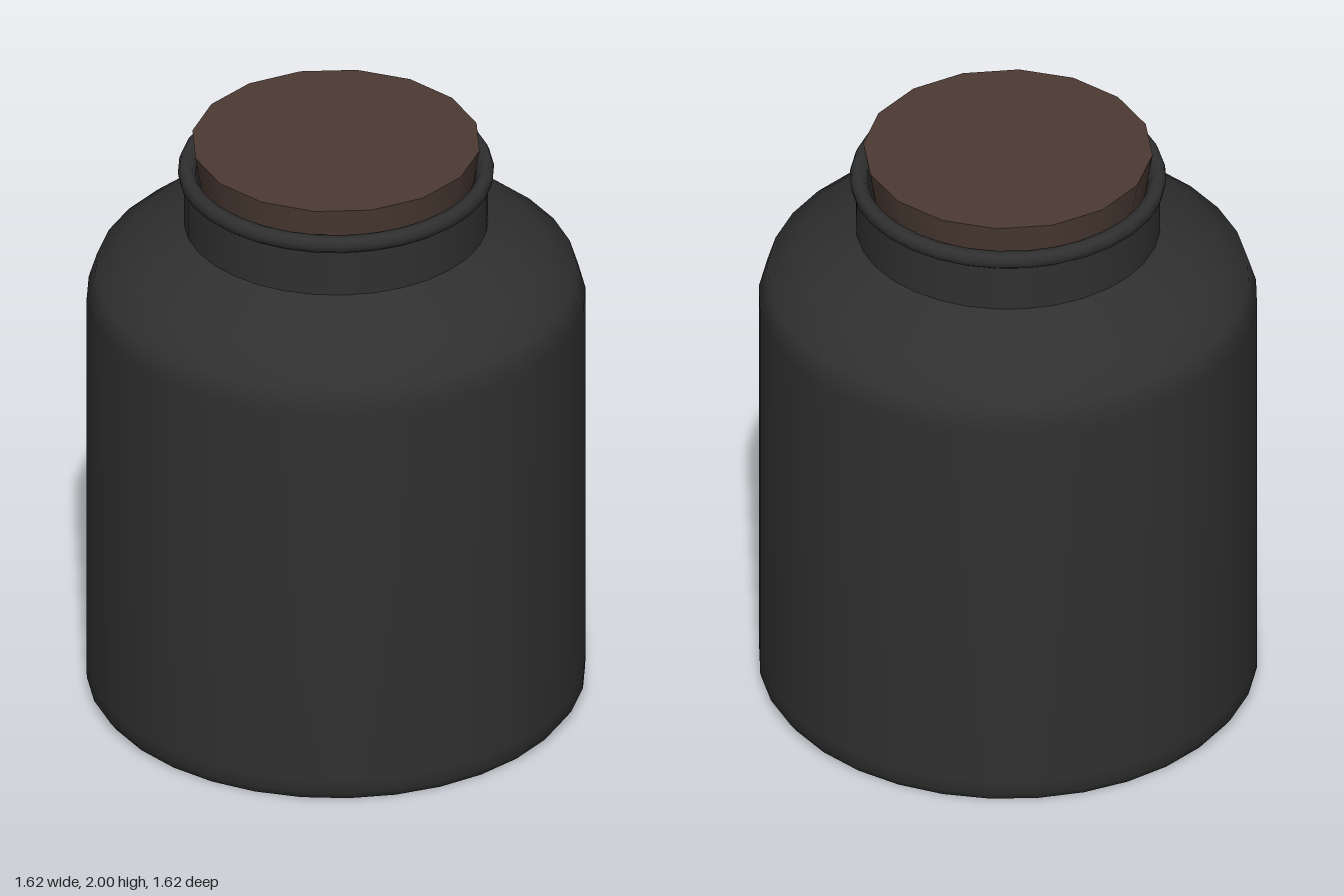
import * as THREE from 'three';

const jarMaterial = new THREE.MeshStandardMaterial({ color: 0x303030 });
jarMaterial.name = 'charcoalGlaze';
const corkMaterial = new THREE.MeshStandardMaterial({ color: 0x4b3a33 });
corkMaterial.name = 'darkCork';

// Turned part from a list of [radius, height] points
function turned(name, profile) {
  const points = profile.map(([r, y]) => new THREE.Vector2(r, y));
  const mesh = new THREE.Mesh(new THREE.LatheGeometry(points, 32), jarMaterial);
  mesh.name = name;
  return mesh;
}

export function createModel() {
  const jar = new THREE.Group();
  jar.name = 'corkedJar';

  // Flat underside
  jar.add(turned('base', [[0, 0], [0.785, 0]]));

  // Straight wall with a small foot bevel, rolling into the shoulder
  jar.add(turned('body', [
    [0.785, 0], [0.807, 0.03], [0.808, 0.08], [0.808, 1.43],
    [0.78, 1.52], [0.69, 1.595], [0.6, 1.65], [0.493, 1.705],
  ]));

  // Upright neck, meeting the shoulder at a sharp crease
  jar.add(turned('neck', [[0.493, 1.705], [0.493, 1.865]]));

  // Rounded lip, turning down into the mouth
  jar.add(turned('lip', [
    [0.493, 1.862], [0.508, 1.873], [0.512, 1.895], [0.505, 1.914],
    [0.49, 1.92], [0.468, 1.914], [0.455, 1.89],
  ]));
  jar.add(turned('mouthWall', [[0.455, 1.89], [0.45, 1.7]]));

  // Tapered stopper
  const cork = new THREE.Mesh(new THREE.CylinderGeometry(0.469, 0.425, 0.27, 16), corkMaterial);
  cork.name = 'cork';
  cork.position.y = 2 - 0.135;
  jar.add(cork);

  return jar;
}
